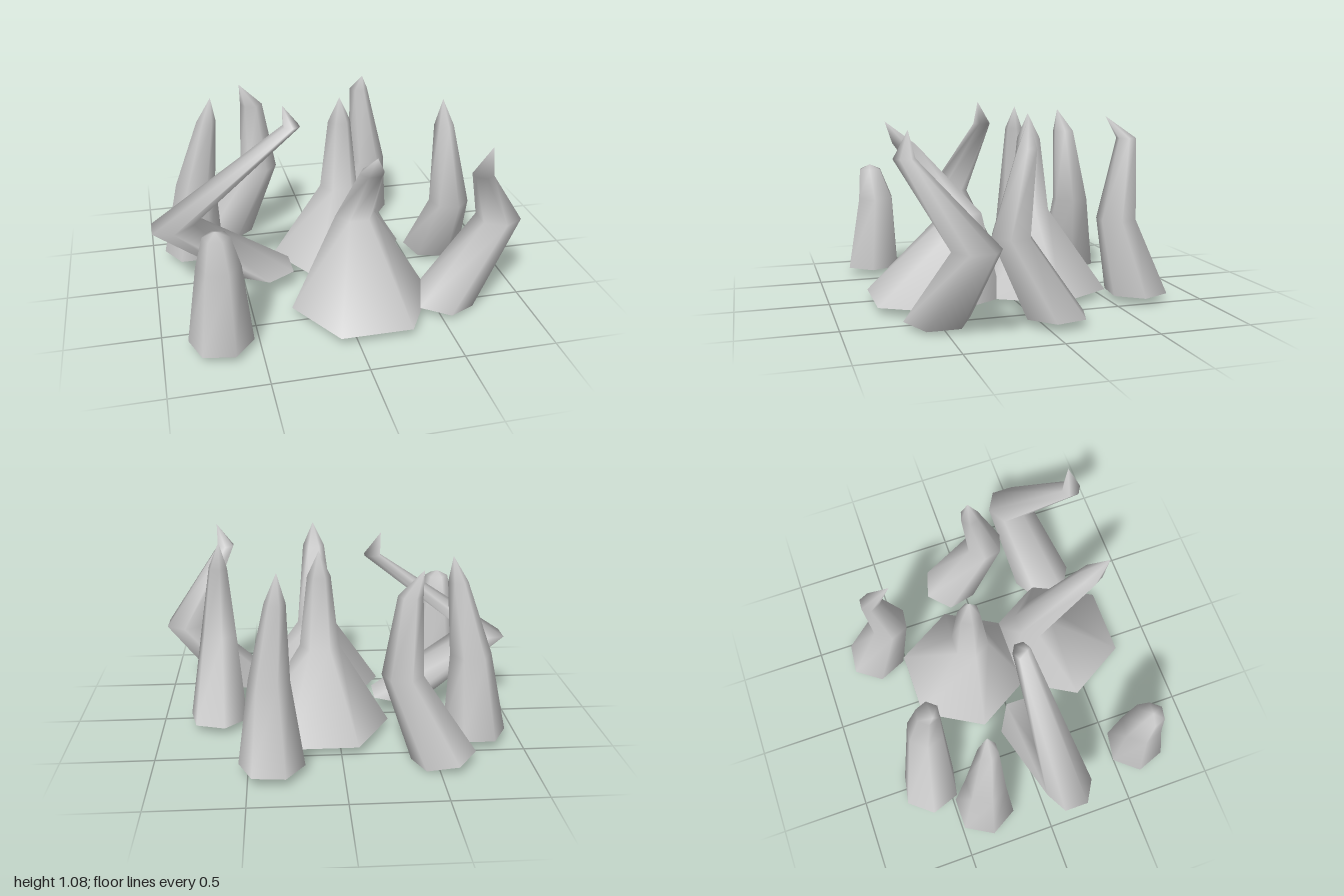
import * as THREE from 'three';

const SIDES = 6;
const material = new THREE.MeshStandardMaterial({ color: 0xcccccc, side: THREE.DoubleSide });

// Each ring is [x, y, z, radius, slope along x]; the spike ends in a point.
function spike(name, turn, rings, tip) {
  const positions = [];
  const index = [];
  const addRing = ([x, y, z, r, slope = 0]) => {
    for (let k = 0; k < SIDES; k++) {
      const a = THREE.MathUtils.degToRad(turn) + (k / SIDES) * Math.PI * 2;
      const dx = Math.cos(a) * r;
      positions.push(x + dx, y + dx * slope, z + Math.sin(a) * r);
    }
  };

  // Sides
  rings.forEach(addRing);
  const apex = rings.length * SIDES;
  positions.push(...tip);
  for (let i = 0; i < rings.length; i++) {
    for (let k = 0; k < SIDES; k++) {
      const n = (k + 1) % SIDES;
      const a = i * SIDES + k, b = i * SIDES + n;
      if (i === rings.length - 1) index.push(a, apex, b);
      else index.push(a, a + SIDES, b, b, a + SIDES, b + SIDES);
    }
  }

  // Flat base with its own vertices, for a sharp lower edge
  const cap = apex + 1;
  addRing(rings[0]);
  for (let k = 1; k < SIDES - 1; k++) index.push(cap, cap + k, cap + k + 1);

  const geometry = new THREE.BufferGeometry();
  geometry.setAttribute('position', new THREE.Float32BufferAttribute(positions, 3));
  geometry.setIndex(index);
  geometry.computeVertexNormals();
  const mesh = new THREE.Mesh(geometry, material);
  mesh.name = name;
  return mesh;
}

export function createModel() {
  const group = new THREE.Group();
  group.name = 'spikeCluster';
  group.add(
    // Two wide-footed spikes in the middle
    spike('centreBackSpike', 0,
      [[0.1, 0.05, -0.17, 0.39], [0.1, 0.5, -0.12, 0.11], [0.1, 0.9, -0.115, 0.065]],
      [0.1, 1.04, -0.11]),
    spike('centreFrontSpike', 0,
      [[0.1, 0.05, 0.44, 0.39], [0.1, 0.5, 0.27, 0.11], [0.1, 0.89, 0.59, 0.065]],
      [0.1, 1.01, 0.69]),
    // Blunt stump
    spike('frontRightStump', 10,
      [[-0.7, 0.05, 0.65, 0.17], [-0.69, 0.48, 0.63, 0.115], [-0.695, 0.66, 0.66, 0.07]],
      [-0.7, 0.69, 0.66]),
    // Long arm folded outwards at the elbow
    spike('rightBentSpike', 30,
      [[-0.38, 0.11, 0.08, 0.175], [-0.885, 0.47, 0.12, 0.13, 0.15], [-0.21, 0.965, 0.07, 0.05]],
      [-0.26, 1.09, 0.08]),
    spike('backRightOuterSpike', 0,
      [[-0.755, 0.05, -0.335, 0.175], [-0.72, 0.5, -0.31, 0.115], [-0.64, 0.9, -0.265, 0.055]],
      [-0.61, 1.04, -0.26]),
    spike('backRightInnerSpike', 10,
      [[-0.535, 0.04, -0.6, 0.17, -0.2], [-0.315, 0.48, -0.53, 0.11], [-0.35, 0.9, -0.495, 0.065]],
      [-0.42, 1.03, -0.48]),
    // Hooked tip
    spike('backLeftHookedSpike', 6,
      [[0.375, 0.05, -0.66, 0.175], [0.38, 0.47, -0.53, 0.11], [0.34, 0.91, -0.6, 0.055]],
      [0.33, 1.03, -0.48]),
    spike('leftSpike', 17,
      [[0.68, 0.05, -0.07, 0.17], [0.68, 0.47, 0.17, 0.11], [0.66, 0.9, 0.08, 0.055]],
      [0.65, 1.05, 0.07]),
    spike('frontLeftBentSpike', 30,
      [[0.54, 0.04, 0.515, 0.175, -0.1], [0.89, 0.46, 0.4, 0.125], [0.65, 0.87, 0.69, 0.055]],
      [0.7, 1.01, 0.68])
  );
  return group;
}
